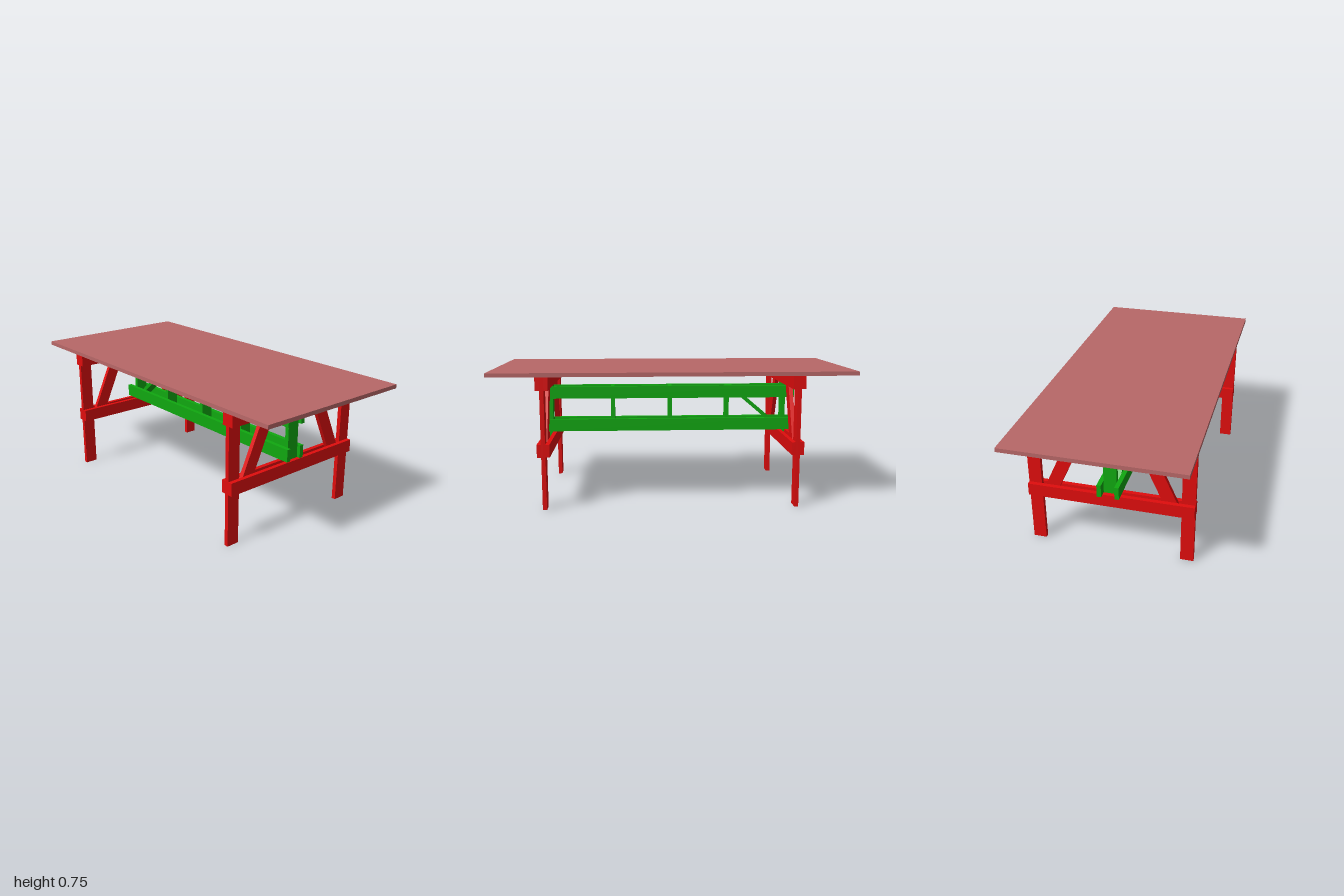
import * as THREE from 'three';

const T = 0.023; // plank thickness
const red = new THREE.MeshStandardMaterial({ color: 0xe00d0d });
const green = new THREE.MeshStandardMaterial({ color: 0x10a810 });
const rose = new THREE.MeshStandardMaterial({ color: 0xb86868 });

// Box given by its min and max on each axis
function plank(name, material, [x0, x1], [y0, y1], [z0, z1]) {
  const mesh = new THREE.Mesh(new THREE.BoxGeometry(x1 - x0, y1 - y0, z1 - z0), material);
  mesh.position.set((x0 + x1) / 2, (y0 + y1) / 2, (z0 + z1) / 2);
  mesh.name = name;
  return mesh;
}

// Slanted plank with level cut ends, extruded about z = 0
function slanted(name, material, bottom, top, width, depth) {
  const shape = new THREE.Shape([
    new THREE.Vector2(bottom[0] - width / 2, bottom[1]),
    new THREE.Vector2(bottom[0] + width / 2, bottom[1]),
    new THREE.Vector2(top[0] + width / 2, top[1]),
    new THREE.Vector2(top[0] - width / 2, top[1]),
  ]);
  const geometry = new THREE.ExtrudeGeometry(shape, { depth, bevelEnabled: false });
  geometry.translate(0, 0, -depth / 2);
  const mesh = new THREE.Mesh(geometry, material);
  mesh.name = name;
  return mesh;
}

// Trestle: legs and braces clamped between pairs of rails
function trestle(name, z) {
  const group = new THREE.Group();
  group.name = name;
  group.position.z = z;
  const core = [-T / 2, T / 2];
  for (const s of [-1, 1]) {
    const side = s > 0 ? 'left' : 'right';
    const legX = s > 0 ? [0.382, 0.454] : [-0.454, -0.382];
    group.add(plank(side + 'Leg', red, legX, [0, 0.73], core));
    group.add(slanted(side + 'Brace', red, [s * 0.349, 0.294], [s * 0.153, 0.729], 0.078, T));
    const railZ = s > 0 ? [T / 2, T * 1.5] : [-T * 1.5, -T / 2];
    group.add(plank('lowerRail', red, [-0.454, 0.454], [0.293, 0.364], railZ));
    group.add(plank('upperRail', red, [-0.454, 0.454], [0.656, 0.73], railZ));
  }
  group.add(plank('centrePost', green, [-0.036, 0.036], [0.294, 0.729], core));
  return group;
}

export function createModel() {
  const model = new THREE.Group();
  model.name = 'table';
  model.add(plank('tableTop', rose, [-0.472, 0.472], [0.73, 0.752], [-1, 1]));
  model.add(trestle('frontTrestle', 0.708), trestle('backTrestle', -0.68));

  // Stretcher: paired long beams with spacers between them
  const stretcher = new THREE.Group();
  stretcher.name = 'stretcher';
  for (const x of [[-0.06, -0.036], [0.036, 0.06]]) {
    stretcher.add(plank('lowerBeam', green, x, [0.365, 0.436], [-0.74, 0.74]));
    stretcher.add(plank('upperBeam', green, x, [0.56, 0.631], [-0.74, 0.74]));
  }
  for (const z of [-0.34, 0.002, 0.342]) {
    stretcher.add(plank('spacer', green, [-0.036, 0.036], [0.365, 0.631], [z - T / 2, z + T / 2]));
  }

  // Diagonal strut near the back trestle
  const strut = slanted('diagonalStrut', green, [0.668, 0.366], [0.356, 0.63], 0.034, 0.072);
  strut.rotation.y = Math.PI / 2;
  stretcher.add(strut);

  model.add(stretcher);
  return model;
}
